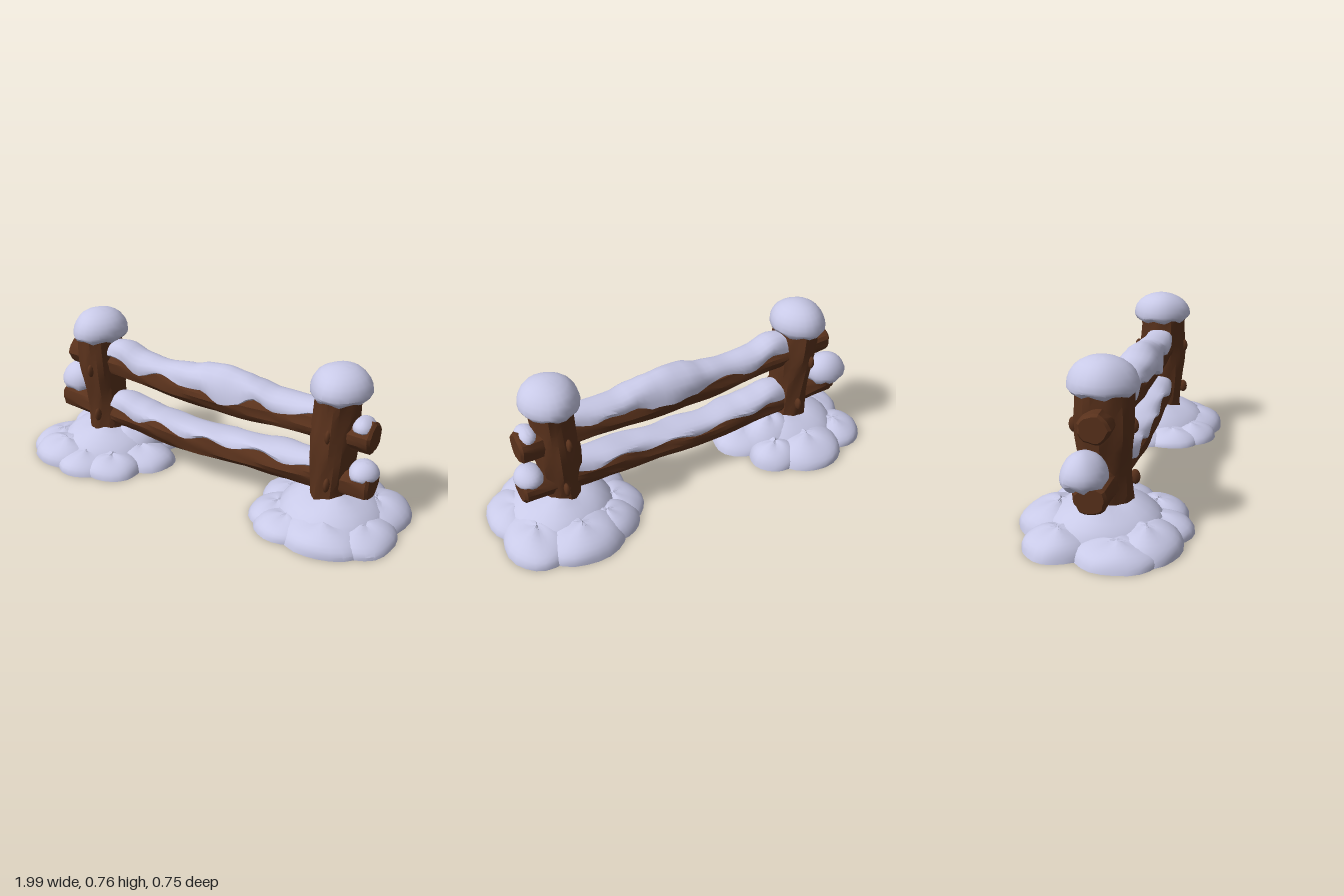
import * as THREE from 'three';
import { mergeVertices, toCreasedNormals } from 'three/addons/utils/BufferGeometryUtils.js';

const snow = new THREE.MeshStandardMaterial({ color: 0xc9cae8 });
snow.name = 'snow';
const wood = new THREE.MeshStandardMaterial({ color: 0x5a321c });
wood.name = 'wood';

// Smooth pseudo-random lumpiness in -1..1
const lump = (x, y, z, f = 14) =>
  (Math.sin(x * f + 1.3 * Math.sin(z * f)) + Math.sin(y * f * 1.2 + 2 + x * f * 0.6) + Math.sin(z * f * 1.1 + 4 - y * f * 0.5)) / 3;

// Weld, then keep only the sharper folds
function finish(geo, crease) {
  geo.deleteAttribute('normal');
  geo.deleteAttribute('uv');
  return toCreasedNormals(mergeVertices(geo, 1e-5), crease);
}

function addMesh(parent, name, geo, mat) {
  const m = new THREE.Mesh(geo, mat);
  m.name = name;
  parent.add(m);
  return m;
}

// Closed skin over a row of rings, with capped ends
function loft(rings, crease) {
  const n = rings[0].length, pos = [], idx = [];
  rings.forEach(r => r.forEach(p => pos.push(p.x, p.y, p.z)));
  for (let i = 0; i < rings.length - 1; i++) {
    for (let j = 0; j < n; j++) {
      const k = (j + 1) % n, a = i * n + j, b = i * n + k;
      idx.push(a, b, b + n, a, b + n, a + n);
    }
  }
  [0, rings.length - 1].forEach((i, end) => {
    const c = new THREE.Vector3();
    rings[i].forEach(p => c.addScaledVector(p, 1 / n));
    const ci = pos.length / 3;
    pos.push(c.x, c.y, c.z);
    for (let j = 0; j < n; j++) {
      const a = i * n + j, b = i * n + (j + 1) % n;
      if (end) idx.push(ci, a, b); else idx.push(ci, b, a);
    }
  });
  const g = new THREE.BufferGeometry();
  g.setAttribute('position', new THREE.Float32BufferAttribute(pos, 3));
  g.setIndex(idx);
  return finish(g, crease);
}

// Piecewise-linear lookup in [x, a, b...] rows, eased between rows
function sample(rows, x, col) {
  let i = 0;
  while (i < rows.length - 2 && x > rows[i + 1][0]) i++;
  const t = THREE.MathUtils.smoothstep(x, rows[i][0], rows[i + 1][0]);
  return THREE.MathUtils.lerp(rows[i][col], rows[i + 1][col], t);
}

const ring = (n, f) => Array.from({ length: n }, (_, j) => f(j / n * Math.PI * 2));
// Bark grooves around a log, drifting along its length
const bark = (a, s, seed) =>
  1 + 0.045 * Math.sin(a * 5 + s * 4 + seed) + 0.03 * Math.sin(a * 9 - s * 7 + seed * 2) - 0.03;

// Horizontal log following rows of [x, centre height, radius]
function rail(rows, seed) {
  const x0 = rows[0][0], x1 = rows[rows.length - 1][0], rings = [], N = 28;
  for (let i = -1; i <= N + 1; i++) {
    const t = THREE.MathUtils.clamp(i / N, 0, 1), x = x0 + (x1 - x0) * t;
    const k = i < 0 || i > N ? 0.84 : 1;
    const xo = x + (k < 1 ? 0 : i === 0 ? 0.012 : i === N ? -0.012 : 0);
    const y = sample(rows, x, 1), r = sample(rows, x, 2) * k;
    rings.push(ring(20, a => {
      const q = r * bark(a, x * 2, seed);
      return new THREE.Vector3(xo, y + Math.cos(a) * q, Math.sin(a) * q * 1.05);
    }));
  }
  return loft(rings, 0.45);
}

// Snow lying on a rail; rows of [x, top, lower edge, half width]
function railSnow(rows) {
  const x0 = rows[0][0], x1 = rows[rows.length - 1][0], rings = [], N = 36;
  for (let i = 0; i <= N; i++) {
    const x = x0 + (x1 - x0) * i / N;
    const top = sample(rows, x, 1), low = sample(rows, x, 2), w = sample(rows, x, 3);
    rings.push(ring(18, a => {
      const c = Math.cos(a), s = Math.sin(a);
      const edge = low + 0.014 * Math.sin(x * 23 + Math.sign(s) * 0.8) * Math.abs(s);
      const y = c > 0 ? edge + (top - edge) * Math.pow(c, 0.8) : edge + 0.018 * c;
      return new THREE.Vector3(x, y, s * (w + 0.005 * Math.sin(x * 17 + c * 3)));
    }));
  }
  return loft(rings, 0.7);
}

// Lumpy snow blob with a flattened, scalloped underside
function blob(x, y, z, rx, up, down, rz, amount = 0.06) {
  const g = new THREE.SphereGeometry(1, 22, 14), p = g.attributes.position;
  for (let i = 0; i < p.count; i++) {
    const a = p.getX(i), b = p.getY(i), c = p.getZ(i);
    const k = 1 + amount * lump(a + x * 3, b, c + y * 5, 3.2);
    const scallop = b < 0 ? 1 + 0.3 * Math.sin(Math.atan2(c, a) * 7) * Math.hypot(a, c) : 1;
    p.setXYZ(i, x + a * rx * k, y + b * k * (b > 0 ? up : down * scallop), z + c * rz * k);
  }
  return finish(g, 0.6);
}

// Half dome of ground snow with a flat base
function drift(x, z, rx, h, rz) {
  const rings = [];
  for (let i = 0; i <= 8; i++) {
    const t = i / 8 * Math.PI / 2 * 0.97;
    rings.push(ring(22, a => {
      const c = Math.cos(t), s = Math.sin(t);
      const k = 1 + 0.04 * lump(x + Math.sin(a) * c, s, z + Math.cos(a) * c, 5);
      return new THREE.Vector3(x + Math.sin(a) * rx * c * k, h * s * (1 + 0.05 * Math.sin(a * 3 + x * 9)), z + Math.cos(a) * rz * c * k);
    }));
  }
  return loft(rings, 0.6);
}

// Upright log from base to top
function post(bx, tx, seed) {
  const rings = [];
  for (let i = 0; i <= 12; i++) {
    const t = i / 12, x = bx + (tx - bx) * t;
    rings.push(ring(24, a => {
      const q = bark(a, t * 1.2, seed);
      const r = 0.09 + 0.016 * t + 0.006 * Math.sin(t * 9 + seed);
      return new THREE.Vector3(x + Math.sin(a) * r * q, 0.03 + 0.6 * t, 0.005 + Math.cos(a) * (r + 0.02) * q);
    }));
  }
  return loft(rings, 0.45);
}

export function createModel() {
  const model = new THREE.Group();
  model.name = 'snowyFence';

  // Posts with bark knots and snow caps
  [['right', -0.612, -0.65, 1], ['left', 0.643, 0.664, 2.6]].forEach(([side, bx, tx, seed]) => {
    const g = new THREE.Group();
    g.name = side + 'Post';
    model.add(g);
    addMesh(g, 'postLog', post(bx, tx, seed), wood);
    [[0.47, 0.015, 1], [0.235, 0.03, 1], [0.47, -0.02, -1], [0.235, 0.02, -1]].forEach(([y, dx, s]) => {
      const k = addMesh(g, 'barkKnot', new THREE.SphereGeometry(1, 8, 6), wood);
      k.scale.set(0.014, 0.034, 0.022);
      k.position.set(bx + (tx - bx) * y / 0.63 + dx, y, s * 0.12);
    });
    addMesh(g, 'postSnowCap', blob(tx, 0.645, 0, 0.132, 0.114, 0.052, 0.15), snow);
  });

  // Rails
  addMesh(model, 'upperRail', rail([
    [-0.82, 0.51, 0.066], [-0.5, 0.49, 0.068], [-0.1, 0.458, 0.07],
    [0.2, 0.455, 0.07], [0.5, 0.468, 0.074], [0.84, 0.457, 0.073]], 0.5), wood);
  addMesh(model, 'lowerRail', rail([
    [-0.885, 0.245, 0.068], [-0.5, 0.222, 0.075], [-0.1, 0.197, 0.076],
    [0.3, 0.21, 0.073], [0.85, 0.232, 0.076]], 3.1), wood);

  // Snow along the rails
  addMesh(model, 'upperRailSnow', railSnow([
    [-0.6, 0.61, 0.55, 0.06], [-0.49, 0.62, 0.545, 0.08], [-0.37, 0.585, 0.505, 0.08], [-0.24, 0.572, 0.52, 0.07],
    [-0.1, 0.585, 0.515, 0.085], [0, 0.612, 0.505, 0.098], [0.1, 0.622, 0.475, 0.1], [0.2, 0.608, 0.5, 0.092],
    [0.27, 0.59, 0.525, 0.085], [0.36, 0.573, 0.495, 0.083], [0.46, 0.572, 0.52, 0.08], [0.62, 0.575, 0.53, 0.07]]), snow);
  addMesh(model, 'lowerRailSnow', railSnow([
    [-0.6, 0.33, 0.28, 0.06], [-0.5, 0.34, 0.265, 0.085], [-0.38, 0.318, 0.25, 0.09], [-0.28, 0.3, 0.265, 0.08],
    [-0.1, 0.285, 0.24, 0.085], [0.05, 0.287, 0.252, 0.08], [0.25, 0.3, 0.268, 0.078],
    [0.45, 0.318, 0.27, 0.082], [0.62, 0.32, 0.27, 0.07]]), snow);

  // Snow on the rail ends
  addMesh(model, 'lowerRightEndSnow', blob(-0.825, 0.325, -0.035, 0.108, 0.095, 0.06, 0.097), snow);
  addMesh(model, 'lowerLeftEndSnow', blob(0.8, 0.275, 0, 0.068, 0.06, 0.03, 0.08), snow);
  addMesh(model, 'upperLeftEndSnow', blob(0.785, 0.5, 0.005, 0.05, 0.046, 0.02, 0.068), snow);

  // Ground drifts: [x, z, half width, height, half depth]
  const mounds = {
    rightMound: [
      [-0.62, 0, 0.27, 0.165, 0.26], [-0.61, -0.2, 0.19, 0.11, 0.18], [-0.82, -0.15, 0.15, 0.09, 0.15],
      [-0.86, 0.1, 0.14, 0.08, 0.18], [-0.75, 0.2, 0.18, 0.1, 0.15], [-0.6, 0.22, 0.15, 0.08, 0.155],
      [-0.46, 0.19, 0.15, 0.08, 0.14], [-0.4, 0.03, 0.185, 0.085, 0.15], [-0.44, -0.17, 0.13, 0.1, 0.125],
      [-0.49, -0.04, 0.15, 0.172, 0.15]],
    leftMound: [
      [0.66, 0, 0.26, 0.165, 0.26], [0.65, -0.21, 0.2, 0.11, 0.17], [0.83, -0.12, 0.155, 0.1, 0.2],
      [0.85, 0.08, 0.145, 0.085, 0.18], [0.7, 0.18, 0.2, 0.1, 0.16], [0.53, 0.19, 0.15, 0.075, 0.135],
      [0.44, 0.1, 0.13, 0.07, 0.15], [0.43, -0.07, 0.14, 0.07, 0.16], [0.51, -0.18, 0.15, 0.09, 0.13]],
  };
  for (const [name, lobes] of Object.entries(mounds)) {
    const g = new THREE.Group();
    g.name = name;
    model.add(g);
    lobes.forEach(l => addMesh(g, 'snowDrift', drift(...l), snow));
  }
  return model;
}
